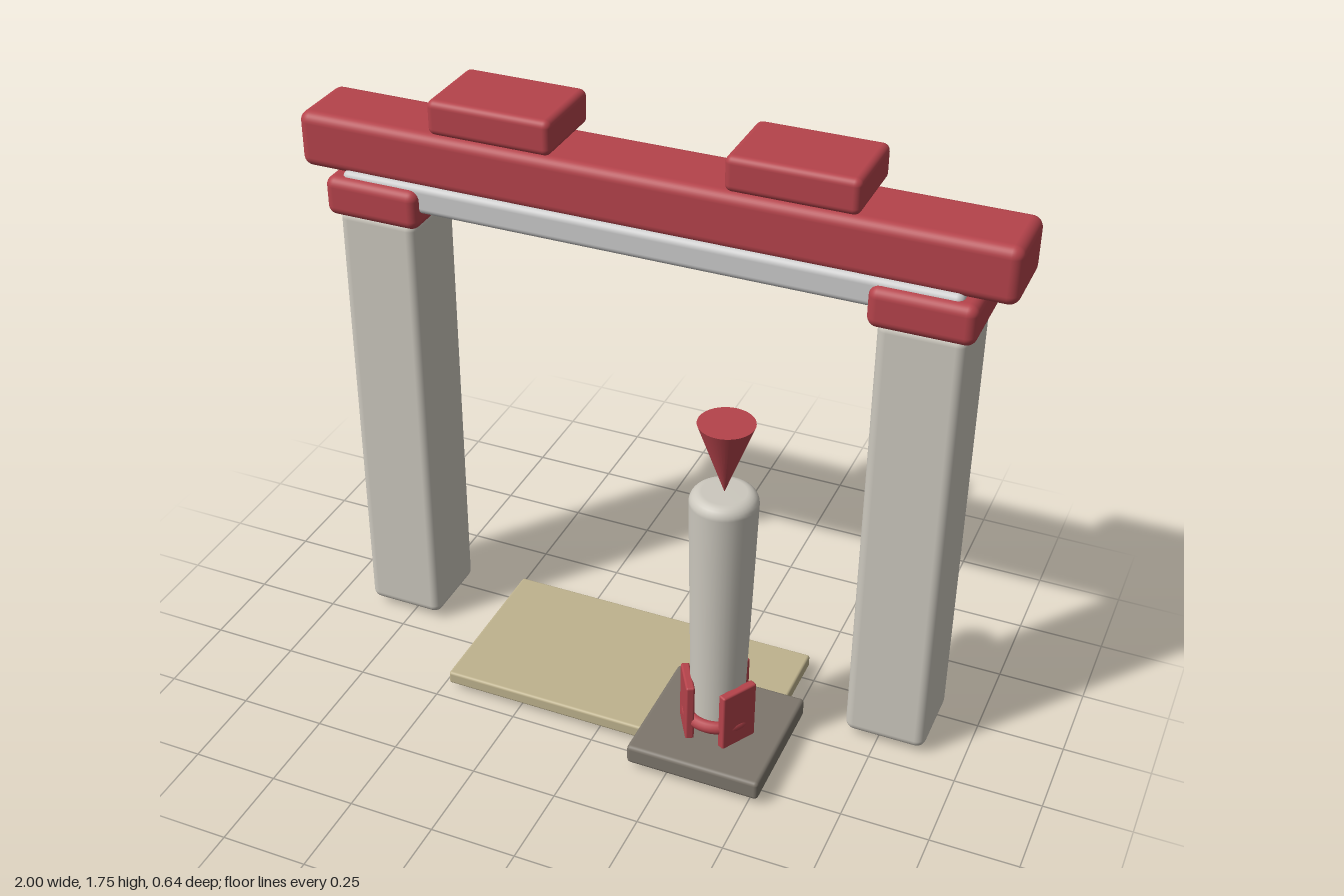
import * as THREE from 'three';
import { RoundedBoxGeometry } from 'three/addons/geometries/RoundedBoxGeometry.js';

const mat = (color) => new THREE.MeshStandardMaterial({ color });
const red = mat(0xb5434b);
const stone = mat(0xccc8be);
const grey = mat(0xcccccc);
const sand = mat(0xbfb38e);
const dark = mat(0x7d766c);

const Z = -0.176; // depth line of the gateway

function add(parent, name, geometry, material, x, y, z) {
  const mesh = new THREE.Mesh(geometry, material);
  mesh.name = name;
  mesh.position.set(x, y, z);
  parent.add(mesh);
  return mesh;
}

// Rounded block given its centre, bottom and top
function block(parent, name, material, x, z, width, depth, y0, y1, radius) {
  const geometry = new RoundedBoxGeometry(width, y1 - y0, depth, 4, radius);
  return add(parent, name, geometry, material, x, (y0 + y1) / 2, z);
}

function createGateway() {
  const gate = new THREE.Group();
  gate.name = 'gateway';
  for (const [side, s] of [['left', 1], ['right', -1]]) {
    block(gate, side + 'Pillar', stone, s * 0.772, Z, 0.236, 0.236, 0.02, 1.37, 0.028);
    block(gate, side + 'Capital', red, s * 0.772, Z, 0.282, 0.288, 1.36, 1.475, 0.028);
    block(gate, side + 'RoofPad', red, s * 0.416, Z, 0.356, 0.246, 1.648, 1.747, 0.02);
  }
  block(gate, 'lintel', grey, 0, Z, 1.74, 0.24, 1.405, 1.49, 0.02);
  block(gate, 'topBeam', red, 0, Z, 2, 0.22, 1.476, 1.637, 0.03);
  return gate;
}

function createBeacon() {
  const beacon = new THREE.Group();
  beacon.name = 'beacon';
  beacon.position.set(0.333, 0, 0.12);
  block(beacon, 'base', dark, 0, 0, 0.392, 0.392, 0.02, 0.08, 0.012);

  // Tapered post with rounded ends
  const profile = [new THREE.Vector2(0, 0.088)];
  const corner = (cx, cy, r, from) => {
    for (let i = 0; i <= 6; i++) {
      const a = from + (i / 6) * Math.PI / 2;
      profile.push(new THREE.Vector2(cx + r * Math.cos(a), cy + r * Math.sin(a)));
    }
  };
  corner(0.051, 0.112, 0.024, -Math.PI / 2);
  corner(0.061, 0.846, 0.033, 0);
  profile.push(new THREE.Vector2(0, 0.879));
  add(beacon, 'post', new THREE.LatheGeometry(profile, 40), stone, 0, 0, 0);

  // Inverted cones: marker above the post, small pin through the base
  const marker = add(beacon, 'markerCone', new THREE.ConeGeometry(0.077, 0.213, 40), red, 0, 0.985, 0);
  marker.rotation.x = Math.PI;
  const pin = add(beacon, 'basePin', new THREE.ConeGeometry(0.03, 0.09, 24), red, 0, 0.045, 0);
  pin.rotation.x = Math.PI;

  // Collar and three clamp plates around the foot
  const collar = add(beacon, 'collar', new THREE.TorusGeometry(0.083, 0.019, 12, 40), red, 0, 0.132, 0);
  collar.rotation.x = Math.PI / 2;
  for (let i = 0; i < 3; i++) {
    const a = Math.PI / 3 + i * Math.PI * 2 / 3;
    const plate = block(beacon, 'clampPlate' + (i + 1), red,
      0.086 * Math.sin(a), 0.086 * Math.cos(a), 0.116, 0.025, 0.075, 0.26, 0.006);
    plate.rotation.y = a;
  }
  return beacon;
}

export function createModel() {
  const model = new THREE.Group();
  model.name = 'gatewayWithBeacon';
  model.add(createGateway(), createBeacon());
  // Flat threshold slab
  block(model, 'threshold', sand, -0.003, -0.04, 0.95, 0.5, 0.02, 0.06, 0.008);
  return model;
}
